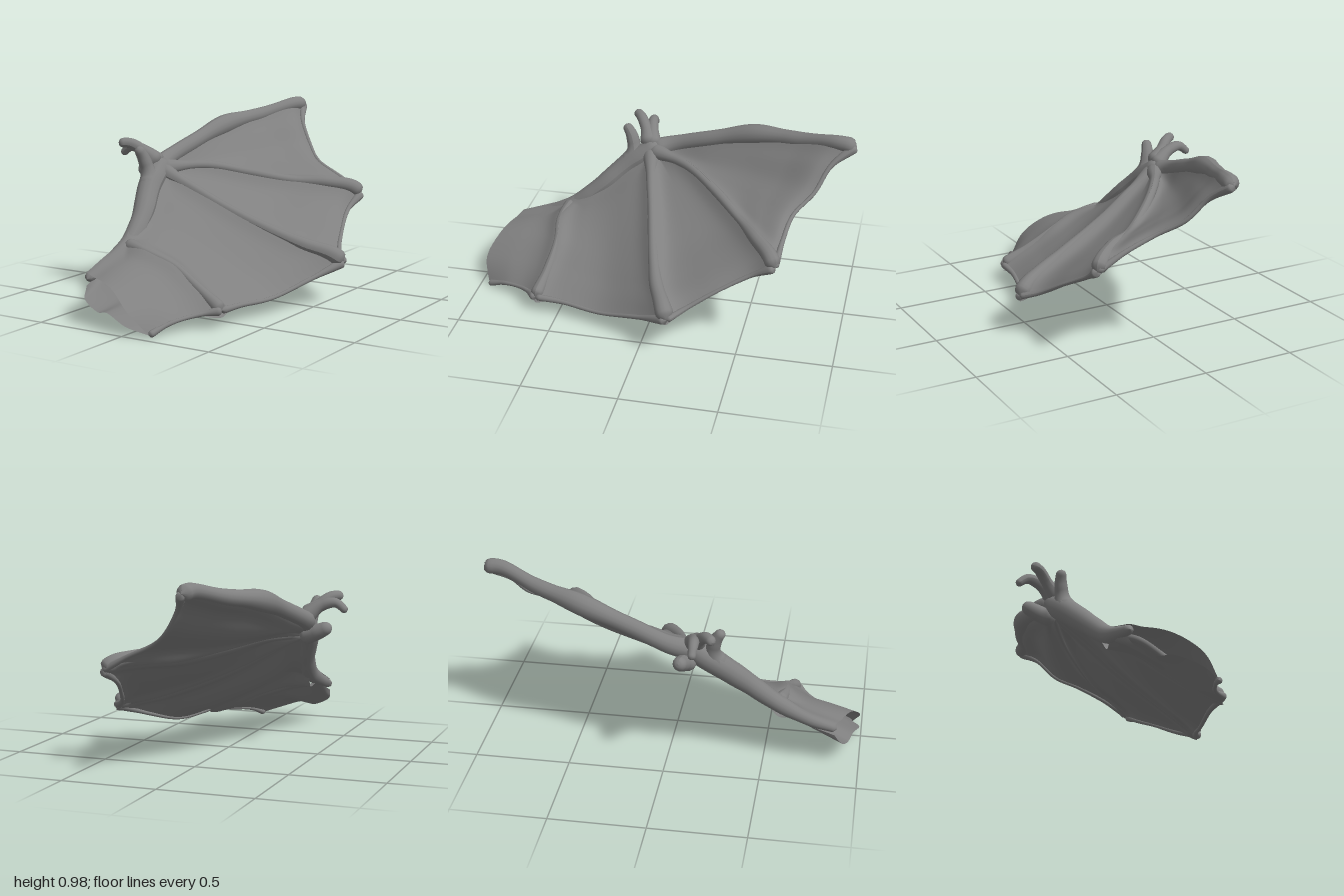
import * as THREE from 'three';

const skin = new THREE.MeshStandardMaterial({ color: 0x808080, side: THREE.DoubleSide });
const V = (p) => new THREE.Vector3(...p);
const curve = (pts) => new THREE.CatmullRomCurve3(pts.map(V), false, 'centripetal');

// Rounded limb along a curve; radii are spread evenly along its length
function limb(path, radii) {
  const n = 64, sides = 14;
  const geo = new THREE.TubeGeometry(path, n, 1, sides, false);
  const pos = geo.attributes.position, p = new THREE.Vector3(), len = path.getLength();
  for (let i = 0; i <= n; i++) {
    const t = i / n, c = path.getPointAt(t), f = t * (radii.length - 1);
    const k = Math.min(Math.floor(f), radii.length - 2);
    let r = THREE.MathUtils.lerp(radii[k], radii[k + 1], THREE.MathUtils.smoothstep(f - k, 0, 1));
    // round off both ends
    const d = Math.min(t, 1 - t) * len;
    if (d < r) r *= Math.sqrt(Math.max(0, 1 - (1 - d / r) ** 2));
    for (let j = 0; j <= sides; j++) {
      const id = i * (sides + 1) + j;
      p.fromBufferAttribute(pos, id).sub(c).multiplyScalar(r).add(c);
      pos.setXYZ(id, p.x, p.y, p.z);
    }
  }
  geo.computeVertexNormals();
  return geo;
}

// Skin stretched between four boundary curves: it sags in the middle and
// swells up (or down) over the bones on sides a, b and inner
function membrane(a, b, inner, outer, sag, up, [swellA, swellB, swellIn], spread) {
  const nu = 50, nv = 44, pos = [], idx = [];
  const [a0, a1, b0, b1] = [a.getPoint(0), a.getPoint(1), b.getPoint(0), b.getPoint(1)];
  const swell = (height, dist) => height * Math.exp(-((dist / spread) ** 2));
  for (let i = 0; i <= nu; i++) {
    for (let j = 0; j <= nv; j++) {
      const u = i / nu, v = j / nv;
      const pa = a.getPoint(u), pb = b.getPoint(u), pi = inner.getPoint(v), po = outer.getPoint(v);
      const width = pa.distanceTo(pb), depth = pi.distanceTo(po);
      const p = pa.multiplyScalar(1 - v).addScaledVector(pb, v)
        .addScaledVector(pi, 1 - u).addScaledVector(po, u)
        .addScaledVector(a0, -(1 - u) * (1 - v)).addScaledVector(b0, -(1 - u) * v)
        .addScaledVector(a1, -u * (1 - v)).addScaledVector(b1, -u * v);
      const bulge = Math.max(swell(swellA, v * width), swell(swellB, (1 - v) * width), swell(swellIn, u * depth));
      p.y += up * bulge * (1 - 0.6 * u ** 3);
      p.y -= sag * Math.sin(Math.PI * v) * Math.sin(Math.PI * Math.pow(u, 0.8));
      pos.push(p.x, p.y, p.z);
      if (i < nu && j < nv) {
        const k = i * (nv + 1) + j, m = k + nv + 1;
        idx.push(k, k + 1, m, k + 1, m + 1, m);
      }
    }
  }
  const geo = new THREE.BufferGeometry();
  geo.setAttribute('position', new THREE.Float32BufferAttribute(pos, 3));
  geo.setIndex(idx);
  geo.computeVertexNormals();
  return geo;
}

export function createModel() {
  const wing = new THREE.Group();
  wing.name = 'wing';
  const add = (name, geo) => {
    const mesh = new THREE.Mesh(geo, skin);
    mesh.name = name;
    wing.add(mesh);
  };

  // Bones
  const wrist = [-0.38, 0.69, 0.14], elbow = [-0.28, 0.36, 0.57], root = [-0.31, 0.235, 0.87];
  const tip1 = [-0.135, 0.95, -1], tip2 = [0.425, 0.51, -0.675], tip3 = [0.595, 0.235, -0.155];
  const tip4 = [0.33, 0.105, 0.62], rootTail = [0.125, 0.025, 0.95];
  const finger1 = curve([wrist, [-0.41, 0.72, 0.03], [-0.38, 0.79, -0.18], [-0.33, 0.87, -0.45],
    [-0.24, 0.91, -0.7], [-0.15, 0.955, -0.9], tip1]);
  const finger2 = curve([wrist, [-0.23, 0.69, -0.1], [-0.07, 0.64, -0.28], [0.11, 0.59, -0.44],
    [0.28, 0.575, -0.56], [0.38, 0.55, -0.64], tip2]);
  const finger3 = curve([wrist, [-0.2, 0.6, 0.1], [0, 0.495, 0.05], [0.2, 0.405, 0],
    [0.4, 0.325, -0.06], [0.53, 0.28, -0.12], tip3]);
  const forearm = curve([wrist, [-0.36, 0.62, 0.25], [-0.31, 0.48, 0.41], elbow]);
  const upperArm = curve([elbow, [-0.31, 0.29, 0.72], root]);
  const spur = curve([elbow, [-0.13, 0.34, 0.6], [0.02, 0.285, 0.58], [0.16, 0.2, 0.59], tip4]);

  add('leadingFinger', limb(finger1, [0.055, 0.045, 0.045, 0.056, 0.042, 0.036, 0.042]));
  add('secondFinger', limb(finger2, [0.05, 0.026, 0.024, 0.026, 0.024, 0.036, 0.042]));
  add('thirdFinger', limb(finger3, [0.05, 0.028, 0.024, 0.026, 0.03, 0.038, 0.048]));
  add('arm', limb(curve([[-0.4, 0.74, 0.1], wrist, [-0.36, 0.61, 0.25], [-0.3, 0.47, 0.41],
    [-0.28, 0.35, 0.57], [-0.298, 0.28, 0.73], [-0.3, 0.235, 0.88]]),
  [0.055, 0.065, 0.06, 0.052, 0.045, 0.034, 0.024]));
  add('spur', limb(spur, [0.04, 0.022, 0.02, 0.026, 0.036]));

  // Claws around the wrist
  const claws = [
    [[[-0.37, 0.71, 0.13], [-0.46, 0.78, 0.15], [-0.54, 0.8, 0.16], [-0.605, 0.755, 0.16]], [0.05, 0.03, 0.02]],
    [[[-0.37, 0.72, 0.15], [-0.44, 0.78, 0.18], [-0.5, 0.825, 0.22], [-0.555, 0.83, 0.26]], [0.05, 0.03, 0.026]],
    [[[-0.37, 0.62, 0.13], [-0.44, 0.64, 0.1], [-0.54, 0.685, 0.085]], [0.055, 0.043, 0.034]],
    [[[-0.34, 0.54, 0.33], [-0.37, 0.65, 0.24], [-0.395, 0.75, 0.25], [-0.41, 0.82, 0.29]], [0.045, 0.055, 0.036, 0.026]],
  ];
  claws.forEach(([pts, radii], i) => add(`claw${i + 1}`, limb(curve(pts), radii)));

  // Scalloped trailing edges, and the open sleeve at the root
  const atWrist = curve([wrist, wrist]);
  const trail1 = curve([tip1, [-0.07, 0.86, -0.88], [0.02, 0.74, -0.81], [0.13, 0.66, -0.72],
    [0.28, 0.59, -0.69], tip2]);
  const trail2 = curve([tip2, [0.41, 0.44, -0.55], [0.46, 0.35, -0.38], [0.52, 0.27, -0.24], tip3]);
  const trail3 = curve([tip3, [0.48, 0.155, 0.05], [0.4, 0.1, 0.25], [0.34, 0.1, 0.47], tip4]);
  const trail4 = curve([tip4, [0.23, 0.085, 0.72], [0.17, 0.065, 0.84], rootTail]);
  const rootTop = curve([root, [-0.2, 0.25, 0.91], [-0.09, 0.22, 0.95], [0.03, 0.13, 0.99], rootTail]);
  const rootBottom = curve([root, [-0.29, 0.15, 0.91], [-0.19, 0.095, 0.94], [-0.12, 0.105, 0.96],
    [0.02, 0.06, 0.99], rootTail]);

  // Each panel has an upper and a lower skin: [name, sides, end curve below, sags, swells]
  const panels = [
    ['outer', finger1, finger2, atWrist, trail1, trail1, [0.03, 0.055], [0.042, 0.026, 0], [0.045, 0.06, 0]],
    ['middle', finger2, finger3, atWrist, trail2, trail2, [0.025, 0.055], [0.026, 0.027, 0], [0.06, 0.075, 0]],
    ['inner', finger3, spur, forearm, trail3, trail3, [0.02, 0.08], [0.027, 0.024, 0.045], [0.075, 0.09, 0.055]],
    ['root', spur, rootTop, upperArm, trail4, rootBottom, [0, 0.035], [0.024, 0, 0.03], [0.09, 0, 0.035]],
  ];
  for (const [name, a, b, inner, outer, below, sags, rises, drops] of panels) {
    add(`${name}UpperSkin`, membrane(a, b, inner, outer, sags[0], 1, rises, 0.06));
    add(`${name}LowerSkin`, membrane(a, below === outer ? b : below, inner, outer, sags[1], -1, drops, 0.085));
  }

  // Thin rolled hems along the trailing edges
  [trail1, trail2, trail3, trail4].forEach((t, i) =>
    add(`trailingHem${i + 1}`, limb(t, [0.025, 0.012, 0.01, 0.012, 0.018])));
  return wing;
}
